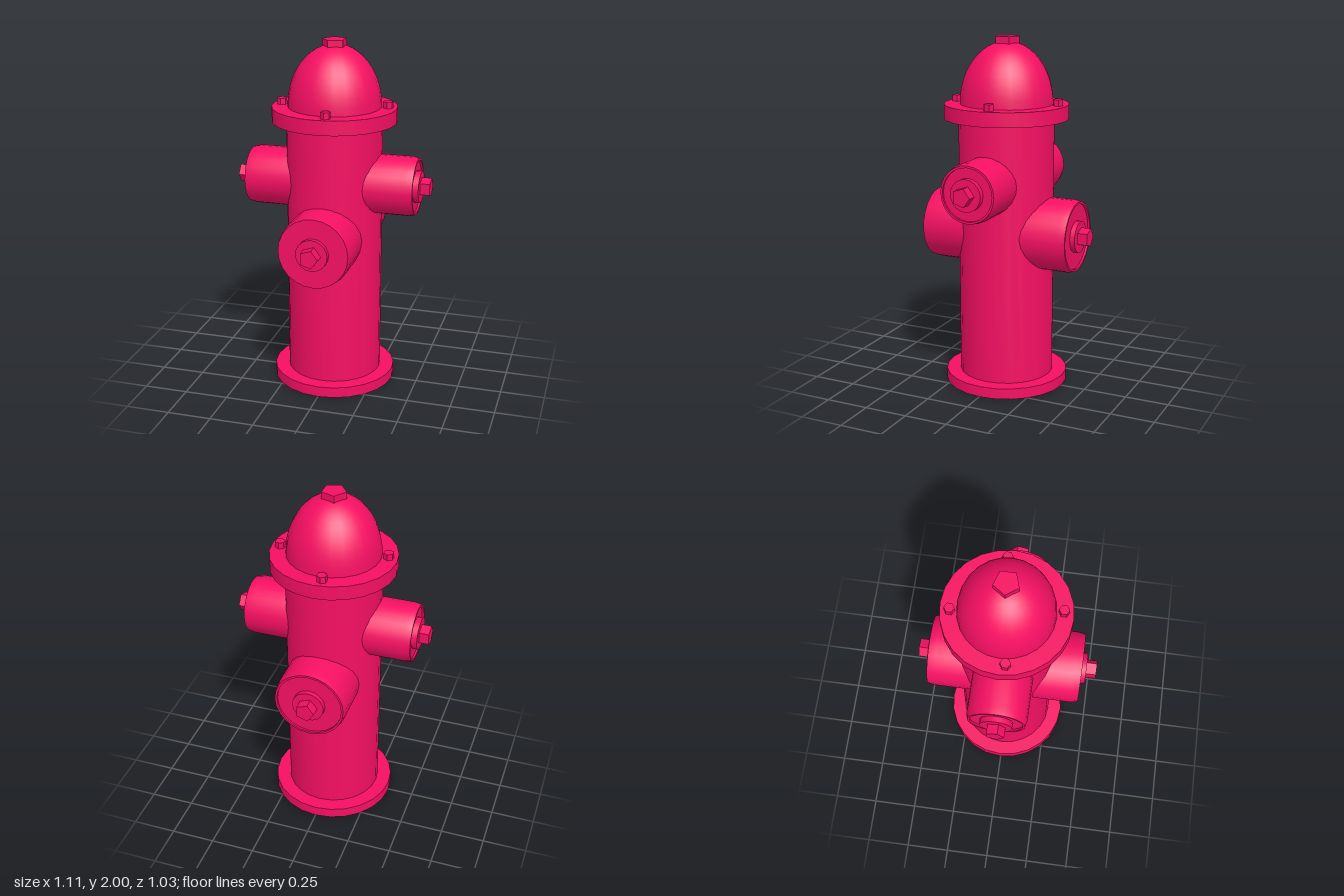
import * as THREE from 'three';
import { toCreasedNormals } from 'three/addons/utils/BufferGeometryUtils.js';

const material = new THREE.MeshStandardMaterial({ color: 0xf50f62, side: THREE.DoubleSide });

function addMesh(parent, name, geometry) {
  const mesh = new THREE.Mesh(geometry, material);
  mesh.name = name;
  parent.add(mesh);
  return mesh;
}

// Turned part from [radius, height] pairs, with sharp corners kept
function turned(profile, sides = 24) {
  const points = profile.map(([r, h]) => new THREE.Vector2(r, h));
  return toCreasedNormals(new THREE.LatheGeometry(points, sides), 0.5);
}

// Prism standing on height y, with its first corner towards the angle start
function prism(radius, y, height, sides, start) {
  const g = new THREE.CylinderGeometry(radius, radius, height, sides, 1, false, start);
  g.translate(0, y + height / 2, 0);
  return toCreasedNormals(g, 0.5);
}

// Outlet pointing along +z before being turned about the vertical axis
function addOutlet(parent, name, { r, y, from, end, tip, collar, angle, recess }) {
  const outlet = new THREE.Group();
  outlet.name = name;
  const profile = [[r, from], [r, end - 0.04], [r - 0.008, end]];
  if (recess) profile.push([r - 0.02, end], [r - 0.02, end - 0.012], [0, end - 0.012]);
  else profile.push([0, end]);
  const parts = [
    ['outletBarrel', turned(profile)],
    ['outletCollar', turned([[0.09, end - 0.02], [0.09, collar], [0, collar]], 20)],
    ['outletNut', prism(0.054, collar - 0.01, tip - collar + 0.01, 5, Math.PI / 2)],
  ];
  for (const [part, geometry] of parts) addMesh(outlet, part, geometry.rotateX(Math.PI / 2));
  outlet.position.y = y;
  outlet.rotation.y = angle;
  parent.add(outlet);
}

export function createModel() {
  const model = new THREE.Group();
  model.name = 'hydrant';

  // Upright parts share one slightly set back axis
  const column = new THREE.Group();
  column.name = 'column';
  column.position.z = -0.006;
  model.add(column);

  // Hollow foot flange and open barrel
  addMesh(column, 'baseFlange', turned([[0.351, 0], [0.351, 0.062], [0.27, 0.062]]));
  addMesh(column, 'barrel', turned([[0.27, 0.062], [0.27, 1.545]]));
  addMesh(column, 'topFlange', turned([[0.27, 1.545], [0.351, 1.545], [0.351, 1.627], [0.25, 1.627]]));

  // Domed bonnet
  const dome = [];
  for (let i = 0; i <= 12; i++) {
    const a = (i / 12) * Math.PI / 2;
    dome.push([0.262 * Math.cos(a), 1.627 + 0.345 * Math.sin(a)]);
  }
  addMesh(column, 'bonnet', turned(dome));
  addMesh(column, 'bonnetNut', prism(0.07, 1.957, 0.043, 5, -Math.PI / 2));

  // Four bolts on the upper flange
  for (let i = 0; i < 4; i++) {
    const a = 0.11 + i * Math.PI / 2;
    const bolt = addMesh(column, 'flangeBolt', prism(0.029, 1.62, 0.043, 6, 0));
    bolt.position.set(0.298 * Math.sin(a), 0, 0.298 * Math.cos(a));
  }

  // Large outlets front and back, small ones at the sides
  const large = { r: 0.206, y: 0.905, from: 0.165, tip: 0.516 };
  const small = { r: 0.167, y: 1.2, from: 0.2, end: 0.482, collar: 0.502, tip: 0.557, recess: true };
  addOutlet(model, 'frontOutlet', { ...large, end: 0.43, collar: 0.457, angle: 0, recess: false });
  addOutlet(model, 'backOutlet', { ...large, end: 0.444, collar: 0.46, angle: Math.PI, recess: true });
  addOutlet(model, 'leftOutlet', { ...small, angle: Math.PI / 2 });
  addOutlet(model, 'rightOutlet', { ...small, angle: -Math.PI / 2 });

  return model;
}
